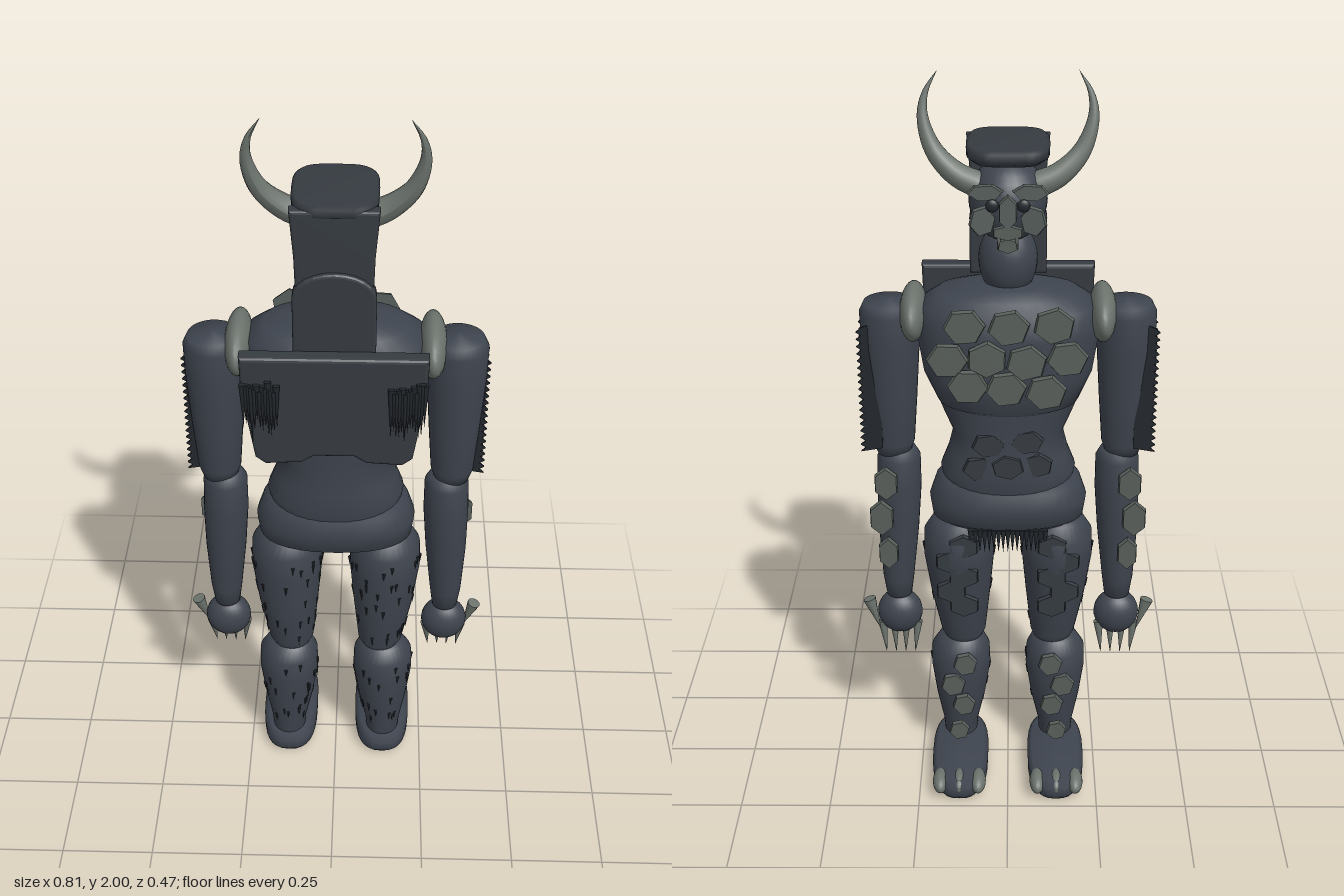
import * as THREE from 'three';

const mat = (name, color, double = false) => {
  const m = new THREE.MeshStandardMaterial({ color, side: double ? THREE.DoubleSide : THREE.FrontSide });
  m.name = name;
  return m;
};

export function createModel() {
  const root = new THREE.Group();
  root.name = 'hornedCreature';
  const hide = mat('slateHide', 0x3e444e);
  const mane = mat('darkMane', 0x363b41);
  const horn = mat('paleHorn', 0x6c736d);
  const scale = mat('greyScale', 0x585f5b, true);
  const fur = mat('blackFur', 0x23272c, true);

  let seed = 7;
  const rand = () => (seed = (seed * 16807) % 2147483647) / 2147483647;

  const add = (name, geo, material, x = 0, y = 0, z = 0) => {
    const m = new THREE.Mesh(geo, material);
    m.name = name;
    m.position.set(x, y, z);
    root.add(m);
    return m;
  };

  // Smooth body from rings of [y, rx, rz, cx, cz]; pw below 1 squares the section
  const loft = (name, rings, material, pw = 1, n = 32) => {
    const pos = [], idx = [];
    const p = v => Math.sign(v) * Math.abs(v) ** pw;
    rings.forEach(([y, rx, rz, cx = 0, cz = 0], j) => {
      for (let i = 0; i < n; i++) {
        const a = (i / n) * Math.PI * 2;
        pos.push(cx + rx * p(Math.cos(a)), y, cz + rz * p(Math.sin(a)));
        if (j < rings.length - 1) {
          const b = j * n + i, c = j * n + (i + 1) % n;
          idx.push(b, b + n, c, b + n, c + n, c);
        }
      }
    });
    const g = new THREE.BufferGeometry();
    g.setAttribute('position', new THREE.Float32BufferAttribute(pos, 3));
    g.setIndex(idx);
    g.computeVertexNormals();
    return add(name, g, material);
  };

  const ball = (name, x, y, z, rx, ry, rz, material) => {
    const g = new THREE.SphereGeometry(1, 24, 16);
    g.scale(rx, ry, rz);
    return add(name, g, material, x, y, z);
  };

  // Flat outline extruded along z, centred on the given depth
  const slab = (name, pts, z, depth, material, bevel = 0) => {
    const g = new THREE.ExtrudeGeometry(new THREE.Shape(pts.map(q => new THREE.Vector2(...q))), {
      depth: depth - 2 * bevel, bevelEnabled: bevel > 0, bevelSize: bevel, bevelThickness: bevel,
      bevelOffset: -bevel, bevelSegments: 3,
    });
    return add(name, g, material, 0, 0, z - depth / 2 + bevel);
  };

  // Six-sided scale facing the front of the body
  const hex = (name, x, y, z, rx, ry, material = scale, spin = 0, yaw = 0) => {
    const g = new THREE.CylinderGeometry(0.92, 1, 0.012, 6).toNonIndexed();
    g.computeVertexNormals();
    g.rotateX(-Math.PI / 2).rotateZ(spin).scale(rx, ry, 1).rotateY(yaw);
    return add(name, g, material, x, y, z);
  };

  const cone = (name, r, h, x, y, z, rx, rz, material) => {
    const m = add(name, new THREE.ConeGeometry(r, h, 10), material, x, y, z);
    m.rotation.set(rx, 0, rz);
    return m;
  };

  // Trunk
  loft('pelvis', [[0.78, 0, 0, 0, 0.03], [0.785, 0.17, 0.09, 0, 0.03], [0.81, 0.205, 0.12, 0, 0.03],
    [0.86, 0.212, 0.13, 0, 0.03], [0.91, 0.195, 0.125, 0, 0.03], [0.94, 0.17, 0.1, 0, 0.03], [0.945, 0, 0, 0, 0.03]], hide, 0.85);
  loft('abdomen', [[0.91, 0.17, 0.12, 0, 0.03], [0.95, 0.18, 0.127, 0, 0.03], [1.0, 0.16, 0.125, 0, 0.03],
    [1.06, 0.145, 0.122, 0, 0.03], [1.12, 0.17, 0.125, 0, 0.03], [1.2, 0.2, 0.127, 0, 0.03]], hide, 0.9);
  loft('chest', [[1.13, 0.12, 0.1, 0, 0.025], [1.16, 0.185, 0.135, 0, 0.025], [1.24, 0.22, 0.145, 0, 0.025],
    [1.36, 0.238, 0.145, 0, 0.025], [1.42, 0.225, 0.135, 0, 0.025], [1.45, 0.18, 0.11, 0, 0.025],
    [1.47, 0.1, 0.07, 0, 0.025], [1.475, 0, 0, 0, 0.025]], hide, 0.85);
  ball('neck', 0, 1.53, 0.035, 0.075, 0.1, 0.072, hide);

  // Head, cap and mane panels
  ball('head', 0, 1.69, 0.022, 0.098, 0.105, 0.1, hide);
  loft('cap', [[1.788, 0, 0, 0, 0.05], [1.79, 0.085, 0.1, 0, 0.05], [1.805, 0.102, 0.118, 0, 0.05],
    [1.825, 0.103, 0.118, 0, 0.05], [1.832, 0.095, 0.11, 0, 0.05], [1.833, 0, 0, 0, 0.05]], mane, 0.55);
  slab('upperMane', [[-0.092, 1.6], [0.092, 1.6], [0.095, 1.7], [0.105, 1.82], [-0.105, 1.82], [-0.095, 1.7]], 0.147, 0.036, mane, 0.008);
  const dome = [[-0.1, 1.45], [0.1, 1.45]];
  for (let i = 0; i <= 12; i++) {
    const a = (i / 12) * Math.PI;
    dome.push([0.1 * Math.cos(a), 1.6 + 0.065 * Math.sin(a)]);
  }
  slab('lowerMane', dome, 0.157, 0.04, mane, 0.008);

  // Face scales, eyes and jaw
  for (const s of [-1, 1]) {
    hex('cheekScale', s * 0.062, 1.665, -0.078, 0.034, 0.04, scale, 0.3 * s, s * 0.2);
    hex('browScale', s * 0.055, 1.735, -0.075, 0.045, 0.022, scale, s * 0.4);
    ball('eye', s * 0.038, 1.705, -0.083, 0.016, 0.016, 0.008, fur);
    cone('fang', 0.007, 0.035, s * 0.022, 1.615, -0.088, Math.PI, 0, horn);
  }
  hex('noseScale', 0, 1.69, -0.09, 0.025, 0.045);
  hex('muzzleScale', 0, 1.64, -0.09, 0.042, 0.02);
  hex('chinScale', 0, 1.6, -0.07, 0.03, 0.02);

  // Chest and belly scales
  [[1.4, [-0.11, 0, 0.11]], [1.315, [-0.15, -0.05, 0.05, 0.15]], [1.235, [-0.1, 0, 0.1]]].forEach(([y, xs]) =>
    xs.forEach(x => hex('chestScale', x + (rand() - 0.5) * 0.01, y + (rand() - 0.5) * 0.02,
      -0.126 + Math.abs(x) * 0.05, 0.054, 0.05, scale, rand() * 0.6)));
  [[-0.05, 1.07], [0.05, 1.06], [0, 1.0], [0.075, 0.99], [-0.075, 1.0]].forEach(([x, y]) =>
    hex('bellyScale', x, y, -0.094 + Math.abs(x) * 0.15, 0.045, 0.036, mane, rand()));

  // Back plate with hanging fur
  slab('backPlate', [[-0.228, 1.46], [-0.225, 1.36], [-0.195, 1.17], [-0.17, 1.15], [-0.08, 1.155], [-0.05, 1.175],
    [0.05, 1.175], [0.08, 1.155], [0.17, 1.15], [0.195, 1.17], [0.225, 1.36], [0.228, 1.46]], 0.197, 0.045, mane, 0.01);
  for (const s of [-1, 1]) {
    for (let i = 0; i < 13; i++) {
      const h = 0.1 + rand() * 0.07;
      cone('backFur', 0.009, h, s * (0.138 + i * 0.0068), 1.4 - h / 2 - rand() * 0.03, 0.222, Math.PI, 0, fur);
    }
  }

  // Front loin fringe
  for (let i = -8; i <= 8; i++) cone('loinFringe', 0.008, 0.07, i * 0.0125, 0.765, -0.073, Math.PI, 0, fur);

  for (const s of [-1, 1]) {
    // Horn: a curved tube whose rings shrink towards the tip
    const path = new THREE.CatmullRomCurve3([[0.07, 1.73, 0.005], [0.125, 1.755, 0.01], [0.18, 1.81, 0.025],
      [0.207, 1.89, 0.04], [0.2, 1.945, 0.05], [0.17, 1.998, 0.058]].map(([x, y, z]) => new THREE.Vector3(s * x, y, z)));
    const tube = new THREE.TubeGeometry(path, 24, 0.034, 12);
    const tp = tube.attributes.position, v = new THREE.Vector3();
    for (let i = 0; i < tp.count; i++) {
      const t = Math.floor(i / 13) / 24, c = path.getPointAt(t);
      v.fromBufferAttribute(tp, i).sub(c).multiplyScalar(1 - t ** 1.3).add(c);
      tp.setXYZ(i, v.x, v.y, v.z);
    }
    tube.computeVertexNormals();
    add('horn', tube, horn);

    // Arm
    ball('shoulderPad', s * 0.242, 1.39, 0.028, 0.036, 0.07, 0.12, horn);
    const X = s * 0.305;
    loft('upperArm', [[0.98, 0, 0, X, 0.035], [0.985, 0.045, 0.045, X, 0.035], [1.02, 0.056, 0.058, X, 0.035],
      [1.15, 0.066, 0.068, X, 0.035], [1.3, 0.076, 0.076, X, 0.033], [1.39, 0.077, 0.077, X, 0.033],
      [1.415, 0.065, 0.065, X, 0.033], [1.425, 0, 0, X, 0.033]], hide);
    loft('forearm', [[0.53, 0, 0, X, 0.03], [0.54, 0.035, 0.038, X, 0.03], [0.6, 0.043, 0.05, X, 0.03],
      [0.75, 0.055, 0.06, s * 0.3, 0.033], [0.88, 0.06, 0.065, s * 0.295, 0.035], [0.97, 0.058, 0.062, s * 0.293, 0.035],
      [0.995, 0.045, 0.045, s * 0.293, 0.035], [1.0, 0, 0, s * 0.293, 0.035]], hide);
    ball('hand', X, 0.478, 0.028, 0.063, 0.066, 0.05, hide);
    for (let i = 0; i < 4; i++)
      cone('fingerClaw', 0.014, 0.1, X + s * (i - 1.5) * 0.03, 0.4, 0.01, Math.PI + 0.15, s * (i - 1.5) * 0.06, horn);
    cone('thumbClaw', 0.018, 0.1, s * 0.375, 0.475, 0.012, Math.PI + 0.1, s * 0.3, horn);

    // Sawtooth fringe down the outer arm
    const saw = [[s * 0.33, 1.38], [s * 0.33, 1.02]];
    for (let i = 0; i < 18; i++) saw.push([s * 0.388, 1.01 + i * 0.02], [s * 0.375, 1.022 + i * 0.02]);
    for (const z of [-0.02, 0.05]) slab('armFringe', saw, z, 0.006, fur);

    [[0.325, 0.92, 0.035, 0.05], [0.34, 0.815, 0.036, 0.055], [0.325, 0.705, 0.03, 0.05]].forEach(([x, y, rx, ry]) =>
      hex('forearmScale', s * x, y, -0.038, rx, ry));

    // Leg
    const legs = {
      thigh: [[0.38, 0, 0, 0.125, 0.035], [0.385, 0.045, 0.045, 0.125, 0.035], [0.42, 0.062, 0.064, 0.126, 0.035],
        [0.55, 0.082, 0.085, 0.132, 0.03], [0.68, 0.097, 0.1, 0.135, 0.022], [0.75, 0.095, 0.1, 0.135, 0.02],
        [0.795, 0.07, 0.075, 0.132, 0.02], [0.81, 0, 0, 0.13, 0.02]],
      shin: [[0.05, 0.046, 0.052, 0.138, 0.04], [0.1, 0.05, 0.058, 0.138, 0.04], [0.2, 0.07, 0.075, 0.136, 0.036],
        [0.3, 0.084, 0.085, 0.135, 0.035], [0.36, 0.082, 0.08, 0.135, 0.035], [0.4, 0.06, 0.06, 0.132, 0.035], [0.415, 0, 0, 0.13, 0.035]],
    };
    for (const [name, rings] of Object.entries(legs))
      loft(name, rings.map(([y, a, b, x, z]) => [y, a, b, s * x, z]), hide);

    // Fur flecks scattered over the back of the leg
    for (let i = 0; i < 60; i++) {
      const rings = i < 35 ? legs.thigh : legs.shin;
      const y = i < 35 ? 0.44 + rand() * 0.28 : 0.12 + rand() * 0.22;
      const k = rings.findIndex(r => r[0] > y), lo = rings[k - 1], hi = rings[k];
      const t = (y - lo[0]) / (hi[0] - lo[0]);
      const [, rx, rz, cx, cz] = lo.map((q, j) => q + (hi[j] - q) * t);
      const a = -0.1 + rand() * (Math.PI + 0.2);
      const m = add('furFleck', new THREE.ConeGeometry(0.005, 0.03, 4), fur,
        s * (cx + rx * Math.cos(a)), y, cz + rz * Math.sin(a));
      m.rotation.x = Math.PI;
    }

    // Dark thigh scales and pale shin scales
    for (let i = 0; i < 5; i++)
      hex('thighScale', s * (0.135 + (i % 2 ? 0.02 : -0.015)), 0.745 - i * 0.048, -0.072 + i * 0.002, 0.045, 0.036, mane);
    [[0.12, 0.345, 0.035], [0.155, 0.275, 0.036], [0.125, 0.205, 0.034], [0.14, 0.115, 0.03]].forEach(([x, y, r]) =>
      hex('shinScale', s * x, y, -0.05, r, r * 1.1, scale, 0.3));

    // Foot and toe claws
    const foot = loft('foot', [[0.003, 0, 0], [0.003, 0.068, 0.16], [0.02, 0.079, 0.174], [0.05, 0.08, 0.176],
      [0.066, 0.068, 0.16], [0.07, 0, 0]], hide, 0.72);
    foot.position.set(s * 0.137, 0, -0.058);
    for (let i = -1; i <= 1; i++)
      ball('toeClaw', s * 0.137 + i * 0.053, 0.045, -0.19, i ? 0.022 : 0.019, 0.027, i ? 0.047 : 0.045, horn);
  }
  return root;
}
